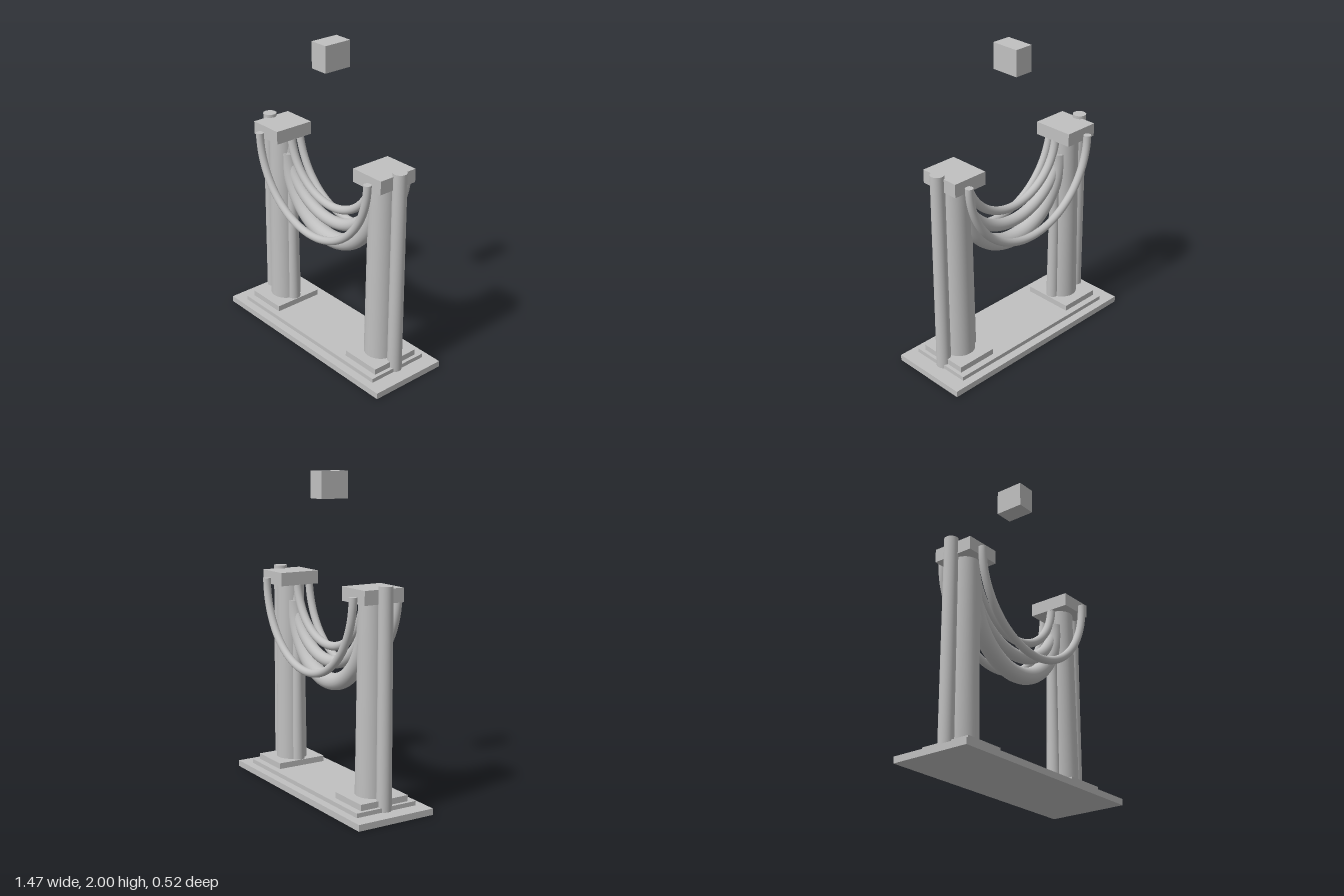
import * as THREE from 'three';

const stone = new THREE.MeshStandardMaterial({ color: 0xc0c0c0 });
stone.name = 'light grey stone';

function add(parent, name, geometry, x = 0, y = 0, z = 0) {
  const mesh = new THREE.Mesh(geometry, stone);
  mesh.name = name;
  mesh.position.set(x, y, z);
  parent.add(mesh);
  return mesh;
}

// Box standing between two heights
function slab(parent, name, width, depth, y0, y1, x = 0) {
  add(parent, name, new THREE.BoxGeometry(width, y1 - y0, depth), x, (y0 + y1) / 2, 0);
}

// Tapered round post standing between two heights
function post(parent, name, rTop, rBottom, y0, y1, x) {
  add(parent, name, new THREE.CylinderGeometry(rTop, rBottom, y1 - y0, 32), x, (y0 + y1) / 2, 0);
}

// Lower half of an ellipse, from the left end to the right end
class SagCurve extends THREE.Curve {
  constructor(halfSpan, depth) {
    super();
    this.halfSpan = halfSpan;
    this.depth = depth;
  }
  getPoint(t, target = new THREE.Vector3()) {
    const a = Math.PI * (1 + t);
    return target.set(this.halfSpan * Math.cos(a), this.depth * Math.sin(a), 0);
  }
}

// Hanging tube with flat ends facing up
function swag(parent, name, halfSpan, topY, lowY, radius, z = 0) {
  const group = new THREE.Group();
  group.name = name;
  group.position.set(0, topY, z);
  const curve = new SagCurve(halfSpan, topY - lowY);
  add(group, name + 'Tube', new THREE.TubeGeometry(curve, 72, radius, 20, false));
  for (const side of [-1, 1]) {
    const end = new THREE.CircleGeometry(radius, 20).rotateX(-Math.PI / 2);
    add(group, name + 'End', end, side * halfSpan, 0, 0);
  }
  parent.add(group);
}

export function createModel() {
  const model = new THREE.Group();
  model.name = 'hangingGate';

  // Stepped base
  slab(model, 'baseStep', 1.47, 0.525, 0, 0.04);
  slab(model, 'upperStep', 1.27, 0.42, 0.04, 0.067);

  // Two towers, each with a plinth, column, cap and side posts
  for (const side of [-1, 1]) {
    const tower = new THREE.Group();
    tower.name = side > 0 ? 'leftTower' : 'rightTower';
    slab(tower, 'plinth', 0.272, 0.335, 0.067, 0.105, side * 0.476);
    post(tower, 'column', 0.085, 0.1, 0.105, 1.27, side * 0.473);
    slab(tower, 'cap', 0.236, 0.272, 1.265, 1.35, side * 0.474);
    post(tower, 'outerPost', 0.043, 0.046, 0.04, 1.37, side * 0.605);
    post(tower, 'innerPost', 0.03, 0.042, 0.105, 1.165, side * 0.386);
    model.add(tower);
  }

  // Three swags between the towers
  swag(model, 'upperSwag', 0.385, 1.31, 0.928, 0.027);
  swag(model, 'middleSwag', 0.425, 1.255, 0.829, 0.039);
  swag(model, 'lowerSwag', 0.41, 1.165, 0.705, 0.054);

  // Ropes in front and behind
  swag(model, 'frontRope', 0.505, 1.305, 0.776, 0.025, 0.158);
  swag(model, 'backRope', 0.505, 1.305, 0.776, 0.025, -0.158);

  // Floating block
  slab(model, 'floatingBlock', 0.124, 0.188, 1.835, 2);

  return model;
}
